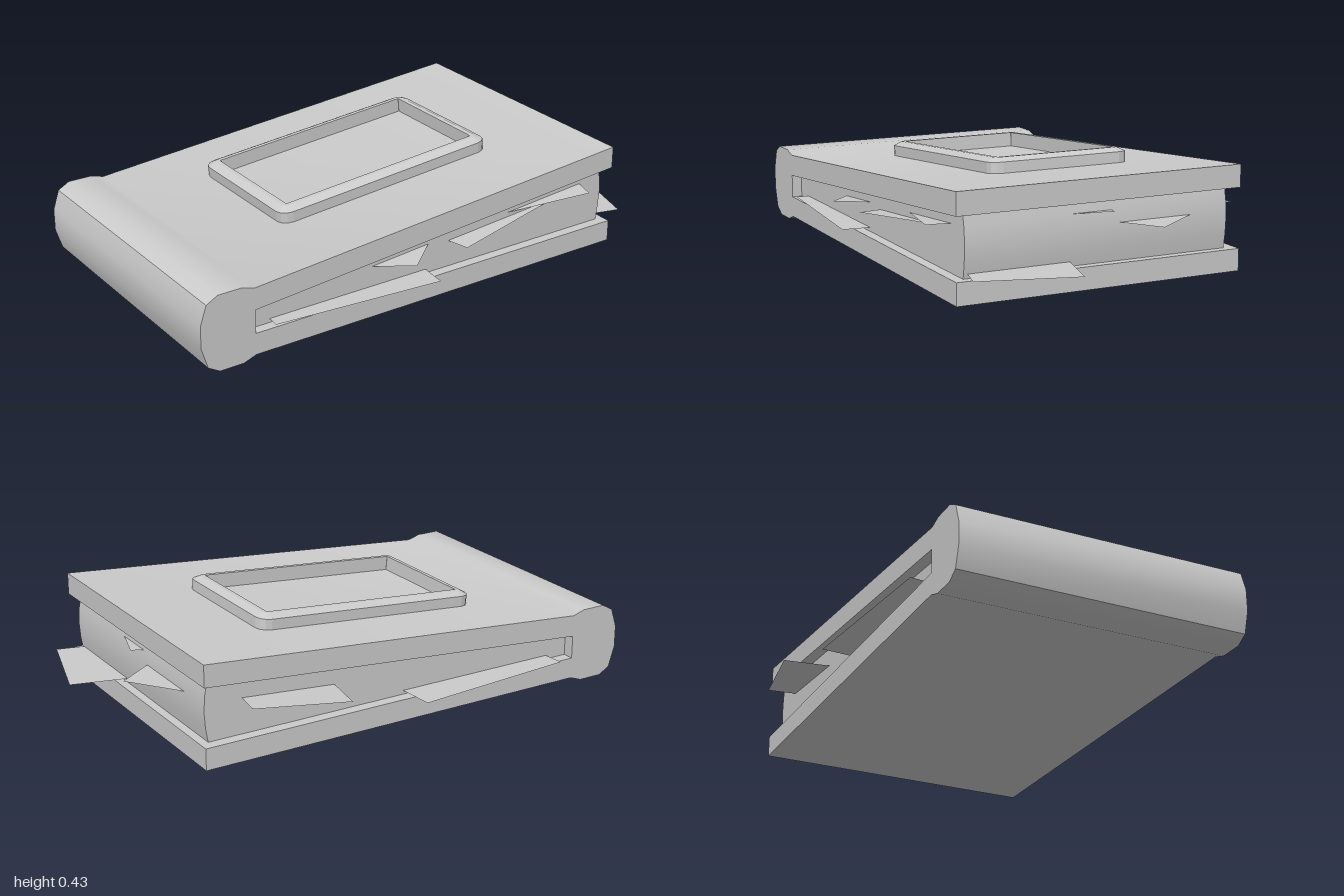
import * as THREE from 'three';
import { toCreasedNormals } from 'three/addons/utils/BufferGeometryUtils.js';

const BACK = -0.535, FRONT = 0.59;   // cover extent in z
const SLOPE = 0.084;                 // rise of the upper cover towards +x

const material = new THREE.MeshStandardMaterial({ color: 0xcccccc });
const sheetMaterial = new THREE.MeshStandardMaterial({ color: 0xcccccc, side: THREE.DoubleSide });

function addMesh(group, name, geometry, mat = material) {
  const mesh = new THREE.Mesh(geometry, mat);
  mesh.name = name;
  group.add(mesh);
  return mesh;
}

// Extrude an x/y outline between two z values
function extrudeProfile(points, z0, z1) {
  const shape = new THREE.Shape(points.map(([x, y]) => new THREE.Vector2(x, y)));
  const geometry = new THREE.ExtrudeGeometry(shape, { depth: z1 - z0, bevelEnabled: false });
  geometry.translate(0, 0, z0);
  return toCreasedNormals(geometry, 0.6);
}

// Rounded rectangle loop, counter-clockwise seen from above
function ring(halfX, halfZ, radius, y) {
  const points = [];
  const corners = [[1, -1], [-1, -1], [-1, 1], [1, 1]];
  corners.forEach(([sx, sz], c) => {
    for (let i = 0; i <= 3; i++) {
      const a = (c + i / 3) * Math.PI / 2;
      points.push([
        sx * (halfX - radius) + radius * Math.cos(a), y,
        sz * (halfZ - radius) - radius * Math.sin(a),
      ]);
    }
  });
  return points;
}

// Flat-shaded strip of quads joining successive loops
function loft(rings) {
  const position = [];
  for (let r = 0; r < rings.length - 1; r++) {
    const lower = rings[r], upper = rings[r + 1];
    for (let i = 0; i < lower.length; i++) {
      const j = (i + 1) % lower.length;
      position.push(...lower[i], ...lower[j], ...upper[j], ...lower[i], ...upper[j], ...upper[i]);
    }
  }
  const geometry = new THREE.BufferGeometry();
  geometry.setAttribute('position', new THREE.Float32BufferAttribute(position, 3));
  geometry.computeVertexNormals();
  return geometry;
}

// Thin sheet: x/z corners lying on the plane y = y0 + slope * x
function sheet(corners, y0, slope) {
  const shape = new THREE.Shape(corners.map(([x, z]) => new THREE.Vector2(x, -z)));
  const geometry = new THREE.ShapeGeometry(shape);
  geometry.rotateX(-Math.PI / 2);
  const p = geometry.attributes.position;
  for (let i = 0; i < p.count; i++) p.setY(i, y0 + slope * p.getX(i));
  geometry.computeVertexNormals();
  return geometry;
}

export function createModel() {
  const group = new THREE.Group();
  group.name = 'book';

  // Cover: rounded spine, flat lower board, sloping upper board
  addMesh(group, 'cover', extrudeProfile([
    [-1, 0.11], [-0.975, 0.03], [-0.93, 0.004], [-0.835, 0.004], [-0.785, 0.022],
    [0.82, 0.022], [0.82, 0.105], [-0.785, 0.105], [-0.785, 0.195],
    [0.82, 0.33], [0.82, 0.415], [-0.785, 0.28], [-0.835, 0.295],
    [-0.93, 0.295], [-0.975, 0.27], [-1, 0.195],
  ], BACK, FRONT));

  // Page block, set back from the boards, with a bulging fore edge
  addMesh(group, 'pageBlock', extrudeProfile([
    [-0.79, 0.1], [0.786, 0.1], [0.796, 0.16], [0.8, 0.22], [0.796, 0.28],
    [0.786, 0.33], [-0.79, 0.198],
  ], -0.49, 0.55));

  // Raised frame on the upper board
  const frame = addMesh(group, 'frame', loft([
    ring(0.467, 0.283, 0.045, -0.01),
    ring(0.467, 0.283, 0.045, 0.04),
    ring(0.437, 0.253, 0.02, 0.055),
    ring(0.42, 0.237, 0.001, 0.055),
    ring(0.42, 0.237, 0.001, -0.01),
  ]));
  frame.position.set(-0.008, 0.346, -0.005);
  frame.rotation.z = Math.atan(SLOPE);

  // Loose sheets sticking out between the boards: corners, height at x = 0, slope
  const sheets = [
    ['backLongSheet', [[-0.7, -0.575], [-0.035, -0.635], [-0.02, -0.4], [-0.685, -0.4]], 0.12, 0],
    ['backShortSheet', [[0.305, -0.665], [0.67, -0.6], [0.635, -0.4], [0.255, -0.4]], 0.187, SLOPE],
    ['frontLongSheet', [[-0.71, 0.6], [-0.045, 0.658], [-0.025, 0.45], [-0.695, 0.45]], 0.12, 0],
    ['frontCornerSheet', [[-0.15, 0.653], [0.0, 0.53], [-0.15, 0.4], [-0.3, 0.53]], 0.222, SLOPE],
    ['frontMiddleSheet', [[0.085, 0.64], [0.63, 0.54], [0.6, 0.4], [0.045, 0.45]], 0.203, SLOPE],
    ['frontShortSheet', [[0.67, 0.635], [0.3, 0.54], [0.33, 0.42], [0.72, 0.45]], 0.221, SLOPE],
    ['sideLargeSheet', [[1, 0.2], [0.895, 0.563], [0.62, 0.49], [0.72, 0.125]], 0.122, 0],
    ['sideCornerSheet', [[0.94, -0.145], [0.69, 0.025], [0.56, -0.17], [0.78, -0.365]], 0.245, 0],
    ['sideSmallSheet', [[0.842, -0.005], [0.79, 0.16], [0.6, 0.11], [0.66, -0.05]], 0.225, SLOPE],
  ];
  for (const [name, corners, y0, slope] of sheets) {
    addMesh(group, name, sheet(corners, y0, slope), sheetMaterial);
  }

  return group;
}
